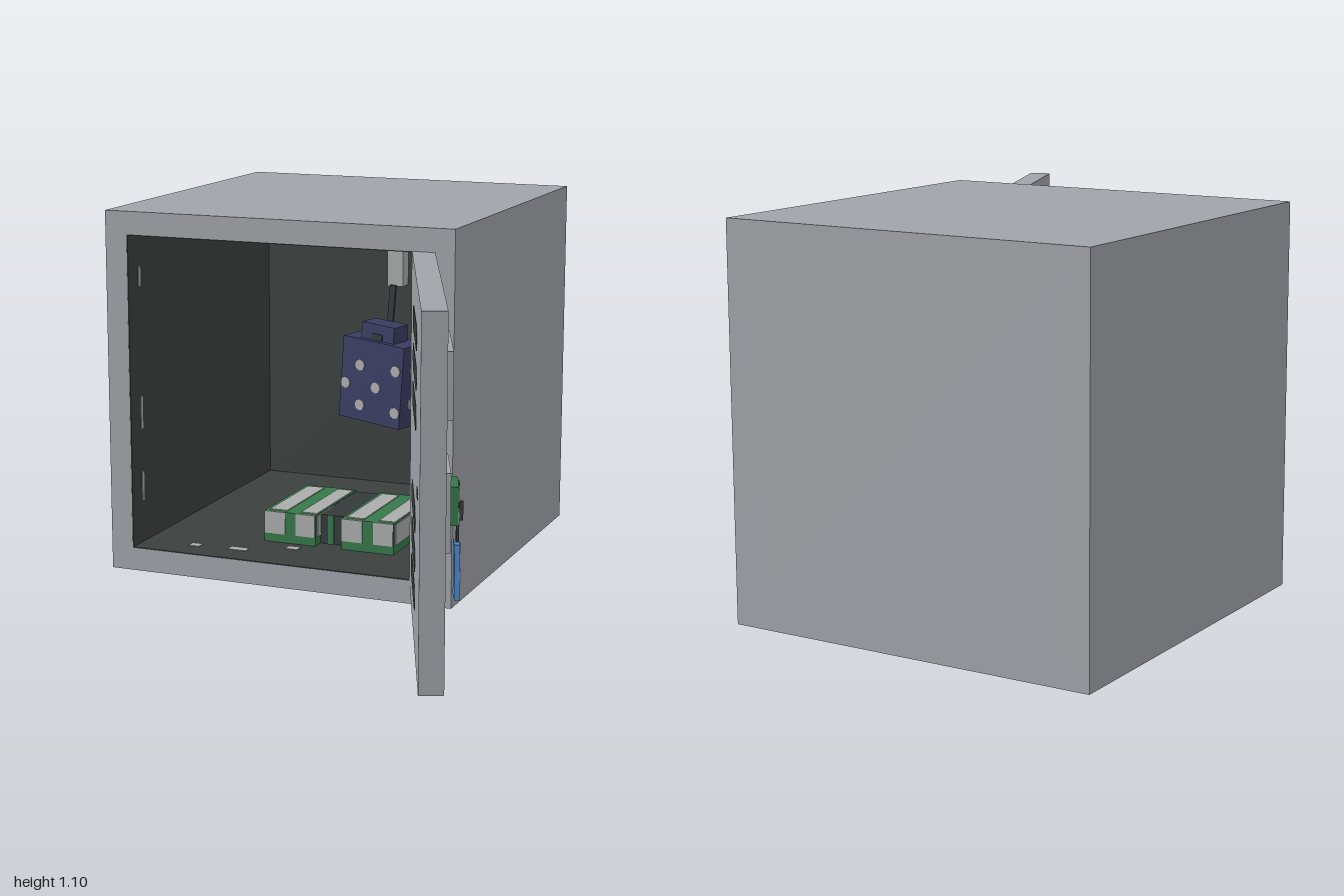
import * as THREE from 'three';

const mat = (name, color) => Object.assign(new THREE.MeshStandardMaterial({ color }), { name });

export function createModel() {
  const steel = mat('steelGrey', 0xa0a3a8);
  const dark = mat('darkInterior', 0x3b403f);
  const slotDark = mat('slotDark', 0x343a3a);
  const navy = mat('navy', 0x3a3d62);
  const blue = mat('tagBlue', 0x4a86c4);
  const green = mat('green', 0x36784a);
  const pale = mat('paleGrey', 0xa9adab);

  const model = new THREE.Group();
  const add = (parent, name, geo, m, x = 0, y = 0, z = 0) => {
    const mesh = new THREE.Mesh(geo, m);
    mesh.name = name;
    mesh.position.set(x, y, z);
    parent.add(mesh);
    return mesh;
  };
  // Box given by its minimum and maximum corners
  const box = (parent, name, m, x0, x1, y0, y1, z0, z1) =>
    add(parent, name, new THREE.BoxGeometry(x1 - x0, y1 - y0, z1 - z0), m,
      (x0 + x1) / 2, (y0 + y1) / 2, (z0 + z1) / 2);
  const group = (parent, name, x = 0, y = 0, z = 0) => {
    const g = new THREE.Group();
    g.name = name;
    g.position.set(x, y, z);
    parent.add(g);
    return g;
  };
  const rect = (P, x0, y0, x1, y1) =>
    new P([[x0, y0], [x1, y0], [x1, y1], [x0, y1]].map(p => new THREE.Vector2(...p)));

  // Locker shell: walls around the opening, and a back
  const L = -0.63, R = 0.33, B = 0.07, T = 1.035, back = -0.93;
  const outline = rect(THREE.Shape, -0.7, 0, 0.4, 1.104);
  outline.holes.push(rect(THREE.Path, L, B, R, T));
  add(model, 'lockerWalls', new THREE.ExtrudeGeometry(outline, { depth: 1.1, bevelEnabled: false }), steel, 0, 0, -1);
  box(model, 'lockerBack', steel, L, R, B, T, -1, back - 0.003);

  // Dark lining
  const t = 0.003, front = 0.0995;
  box(model, 'liningBack', dark, L, R, B, T, back - t, back);
  box(model, 'liningLeft', dark, R - t, R, B, T, back, front);
  box(model, 'liningRight', dark, L, L + t, B, T, back, front);
  box(model, 'liningFloor', dark, L, R, B, B + t, back, front);
  box(model, 'liningCeiling', dark, L, R, T - t, T, back, front);

  // Small worn flecks just inside the opening
  for (const [x, z, w] of [[-0.46, 0.01, 0.035], [-0.32, 0, 0.06], [-0.17, -0.07, 0.04]])
    box(model, 'floorFleck', pale, x - w / 2, x + w / 2, B + t, B + 0.005, z - 0.015, z + 0.015);
  for (const [y, h] of [[0.9, 0.06], [0.48, 0.1], [0.25, 0.09]])
    box(model, 'wallFleck', pale, L + t, L + 0.005, y - h / 2, y + h / 2, 0.025, 0.037);

  // Hinge plates
  for (const y of [0.2, 0.73]) box(model, 'hinge', steel, 0.33, 0.36, y, y + 0.17, 0.1, 0.107);

  // Open door: local x runs from hinge to free edge, local -z is the outside
  const door = group(model, 'door', 0.331, 0, 0.074);
  door.rotation.y = -1.194;
  const depth = 0.065;
  box(door, 'doorPanel', steel, 0, 0.967, B, T, 0, depth);

  // Vent slots on both faces
  const slot = (w, h, r) => {
    const s = new THREE.Shape(), x = w / 2, y = h / 2;
    s.setFromPoints([[-x, r - y], [r - x, -y], [x - r, -y], [x, r - y], [x, y - r], [x - r, y], [r - x, y], [-x, y - r]]
      .map(p => new THREE.Vector2(...p)));
    return new THREE.ExtrudeGeometry(s, { depth: 0.002, bevelEnabled: false });
  };
  const innerSlot = slot(0.365, 0.065, 0.025), outerSlot = slot(0.285, 0.032, 0.01);
  for (const y of [0.192, 0.297, 0.402, 0.675, 0.78, 0.885]) {
    add(door, 'innerSlot', innerSlot, slotDark, 0.447, y + 0.015, depth);
    add(door, 'outerSlot', outerSlot, slotDark, 0.453, y - 0.002, -0.002);
  }

  // Name plate and lock plate
  box(door, 'namePlate', steel, 0.652, 0.93, 0.76, 0.93, -0.016, 0);
  box(door, 'lockPlate', steel, 0.692, 0.9, 0.417, 0.62, -0.014, 0);

  // Lock with pale corners on green and a dark keyhole
  const lock = group(door, 'lock', 0.783, 0.52, -0.024);
  box(lock, 'lockBody', green, -0.056, 0.056, -0.05, 0.05, -0.012, 0.012);
  for (const sx of [-1, 1]) for (const y of [-0.031, 0.028])
    add(lock, 'lockCorner', new THREE.BoxGeometry(0.036, 0.034, 0.004), pale, sx * 0.036, y, -0.013);
  box(lock, 'keyhole', slotDark, -0.016, 0.016, -0.02, 0.05, -0.016, -0.012);
  box(lock, 'key', slotDark, -0.005, 0.005, -0.05, 0, -0.026, -0.012);

  // Lock bolt mark on the inside
  for (const d of [-0.006, 0.006]) {
    box(door, 'boltMark', slotDark, 0.755, 0.82, 0.538 + d, 0.542 + d, depth, depth + 0.002);
    box(door, 'boltMark', slotDark, 0.786 + d * 2, 0.792 + d * 2, 0.526, 0.554, depth, depth + 0.002);
  }

  // Key cord and spotted tag
  add(door, 'keyCord', new THREE.BoxGeometry(0.012, 0.09, 0.008), slotDark, 0.788, 0.45, -0.036).rotation.z = -0.12;
  const tag = group(door, 'keyTag', 0.8, 0.345, -0.034);
  tag.rotation.z = 0.11;
  add(tag, 'tagBody', new THREE.BoxGeometry(0.084, 0.14, 0.014), blue);
  for (const [x, y] of [[-0.01, 0.055], [0.022, -0.01], [-0.014, -0.018]])
    add(tag, 'tagSpot', new THREE.BoxGeometry(0.036, 0.028, 0.003), pale, x, y, -0.008);

  // Coat hook and strap
  box(model, 'hook', pale, -0.175, -0.12, 0.76, 0.885, back, back + 0.05);
  add(model, 'strap', new THREE.BoxGeometry(0.02, 0.13, 0.012), slotDark, -0.155, 0.7, back + 0.06).rotation.z = -0.08;

  // Hanging spotted bag
  const bag = group(model, 'bag', -0.175, 0.452, back + 0.1);
  bag.rotation.set(0, -0.25, -0.073);
  add(bag, 'bagBody', new THREE.BoxGeometry(0.245, 0.276, 0.12), navy);
  add(bag, 'bagTop', new THREE.BoxGeometry(0.13, 0.055, 0.08), navy, 0, 0.165, 0);
  add(bag, 'bagClasp', new THREE.BoxGeometry(0.04, 0.022, 0.004), slotDark, 0, 0.15, 0.042);
  const spot = new THREE.CylinderGeometry(0.019, 0.019, 0.004, 8).rotateX(Math.PI / 2);
  for (const [x, y] of [[-0.048, 0.05], [0.095, 0.055], [-0.103, -0.02], [0.02, -0.015], [-0.04, -0.085], [0.102, -0.085]])
    add(bag, 'bagSpot', spot, pale, x, y, 0.061);
  for (const y of [0.055, -0.06])
    add(bag, 'bagSideSpot', spot, pale, 0.123, y, 0).rotation.y = Math.PI / 2;

  // Pair of green boxes with pale panels, joined by a set-back middle
  const z0 = -0.45, z1 = -0.115;
  for (const x of [-0.285, -0.03]) {
    const g = group(model, 'greenBox', x, B, 0);
    box(g, 'boxBody', green, 0, 0.17, 0, 0.1, z0, z1);
    for (const [a, b] of [[0.001, 0.07], [0.105, 0.169]]) {
      box(g, 'frontPanel', pale, a, b, 0.03, 0.1, z1, z1 + 0.003);
      box(g, 'topPanel', pale, a + 0.012, b, 0.1, 0.103, z0 + 0.02, z1 - 0.015);
    }
    for (const s of [-0.003, 0.17]) for (const z of [z0 + 0.01, z0 + 0.19])
      box(g, 'sidePanel', pale, s, s + 0.003, 0.03, 0.095, z, z + 0.13);
  }
  box(model, 'boxMiddle', slotDark, -0.115, -0.03, B, 0.165, z0, z1 - 0.04);
  box(model, 'middleStripe', green, -0.088, -0.07, B, 0.165, z1 - 0.04, z1 - 0.036);

  return model;
}
